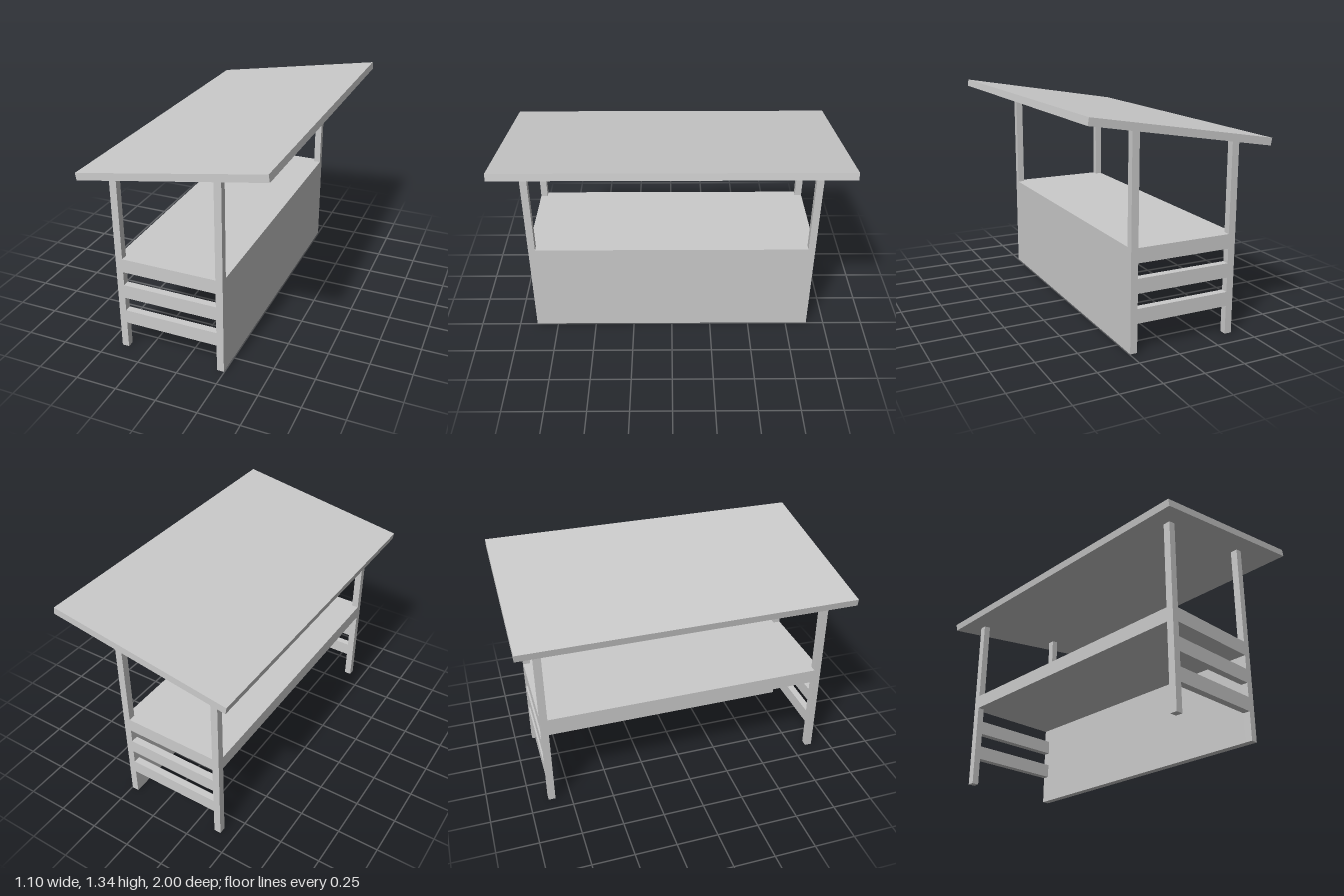
import * as THREE from 'three';

export function createModel() {
  const group = new THREE.Group();
  const material = new THREE.MeshStandardMaterial({ color: 0xcccccc, flatShading: true });

  const add = (name, geometry) => {
    const mesh = new THREE.Mesh(geometry, material);
    mesh.name = name;
    group.add(mesh);
    return mesh;
  };
  // Box given by its extents on each axis
  const box = (name, x0, x1, y0, y1, z0, z1) =>
    add(name, new THREE.BoxGeometry(x1 - x0, y1 - y0, z1 - z0))
      .position.set((x0 + x1) / 2, (y0 + y1) / 2, (z0 + z1) / 2);

  const post = 0.043;
  const xLow = -0.416, xHigh = 0.247, zEnd = 0.888;
  const tilt = Math.atan2(0.182, 1.092);
  const roofThickness = 0.043, roofCentreY = 1.225;
  const roofUnderside = x => roofCentreY - roofThickness / 2 / Math.cos(tilt) + x * Math.tan(tilt);

  // Sloping roof slab
  const roof = add('roof', new THREE.BoxGeometry(1.107, roofThickness, 2));
  roof.position.y = roofCentreY;
  roof.rotation.z = tilt;

  // Corner posts, cut at the top to meet the roof
  const addPost = (name, x, z) => {
    const shape = new THREE.Shape([
      new THREE.Vector2(x, 0),
      new THREE.Vector2(x + post, 0),
      new THREE.Vector2(x + post, roofUnderside(x + post)),
      new THREE.Vector2(x, roofUnderside(x)),
    ]);
    add(name, new THREE.ExtrudeGeometry(shape, { depth: post, bevelEnabled: false })).position.z = z;
  };

  // Two end frames: posts with two open rails each
  for (const [end, z] of [['front', zEnd - post], ['back', -zEnd]]) {
    addPost(end + 'ShortPost', xLow, z);
    addPost(end + 'TallPost', xHigh - post, z);
    box(end + 'LowerRail', xLow + post, xHigh - post, 0.172, 0.258, z, z + post);
    box(end + 'MiddleRail', xLow + post, xHigh - post, 0.345, 0.431, z, z + post);
    box(end + 'UpperRail', xLow + post, xHigh - post, 0.518, 0.604, z, z + post);
  }

  // Counter top between the end frames and the closed side panel
  const zIn = zEnd - post;
  box('counterTop', xLow, xHigh - post, 0.518, 0.604, -zIn, zIn);
  box('sidePanel', xHigh - post, xHigh, 0, 0.604, -zIn, zIn);

  return group;
}
